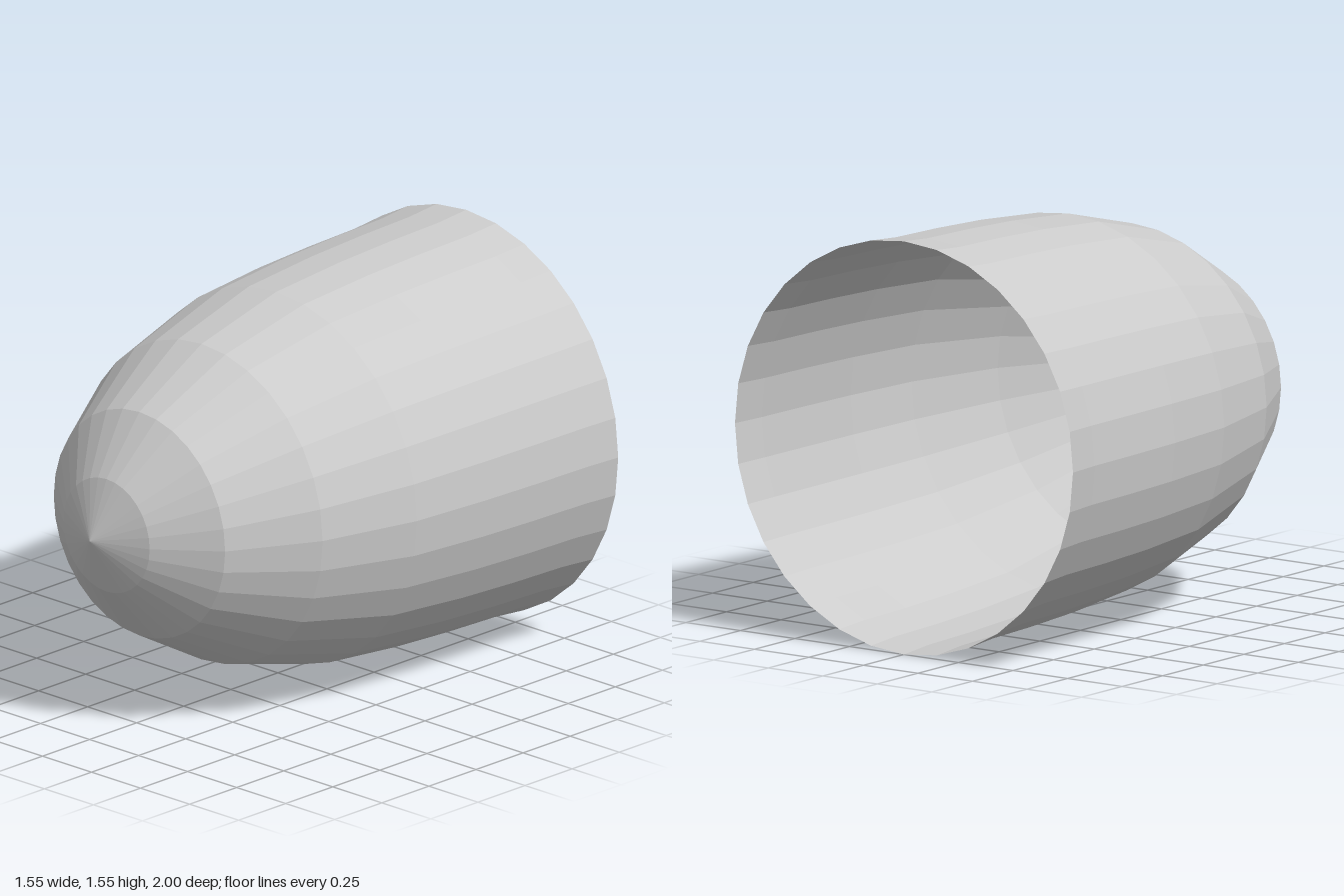
import * as THREE from 'three';

const RADIUS = 0.775;

export function createModel() {
  const group = new THREE.Group();
  group.name = 'noseCone';

  // Profile as [radius, z], from the open back rim to the front tip
  const profile = [
    [RADIUS, -1], [0.763, -0.85], [0.757, -0.6], [0.745, -0.33],
    [0.717, 0.01], [0.617, 0.405], [0.437, 0.735], [0.22, 0.91], [0, 1],
  ].map(([r, z]) => new THREE.Vector2(r, z));

  // Thin hollow shell, turned so that its axis runs along z
  const geometry = new THREE.LatheGeometry(profile, 32);
  geometry.rotateX(Math.PI / 2);

  const shell = new THREE.Mesh(geometry, new THREE.MeshStandardMaterial({
    color: 0xcccccc, flatShading: true, side: THREE.DoubleSide,
  }));
  shell.name = 'shell';
  shell.position.y = RADIUS;
  group.add(shell);

  return group;
}
